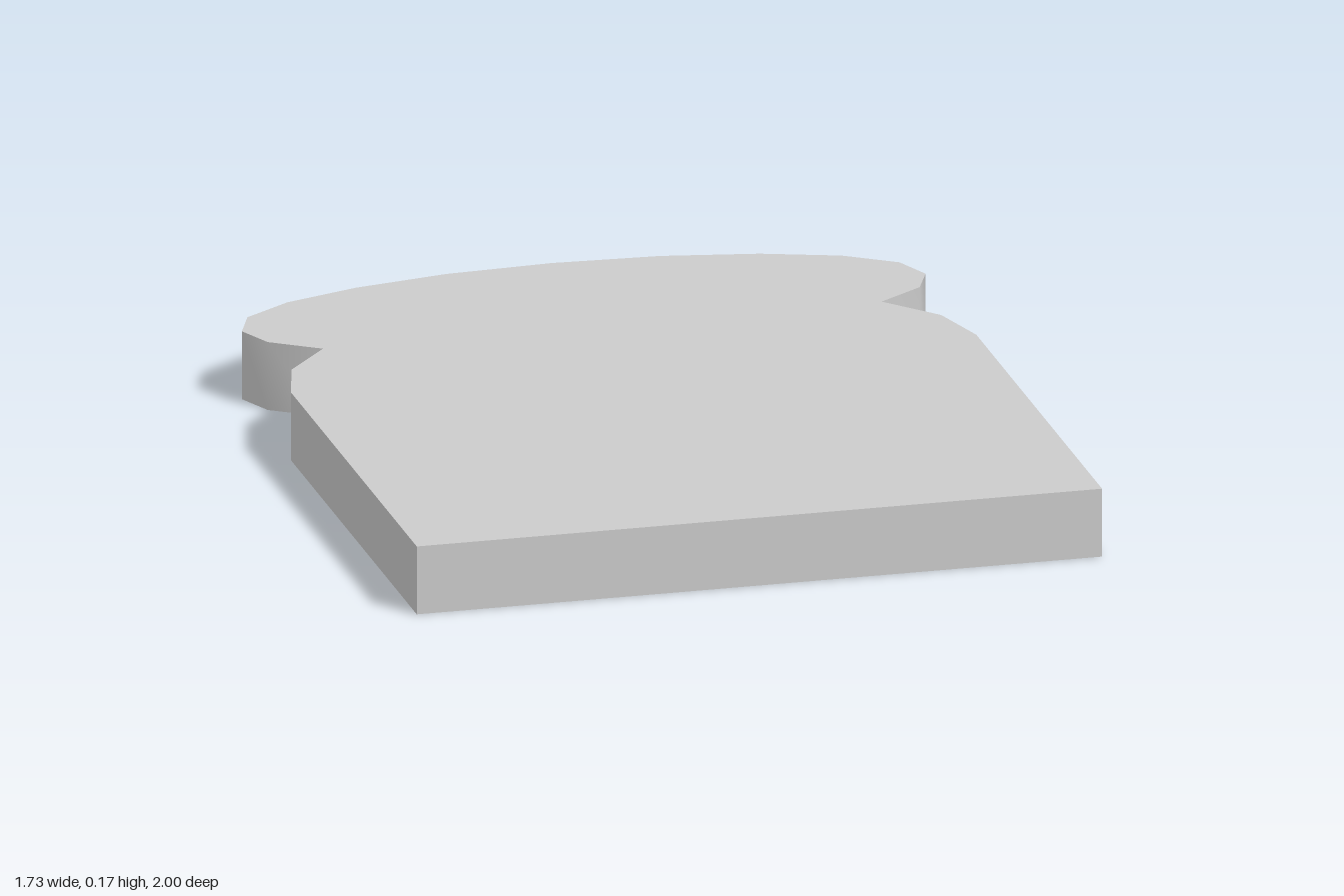
import * as THREE from 'three';
import { toCreasedNormals } from 'three/addons/utils/BufferGeometryUtils.js';

const THICKNESS = 0.175;

// Left half of the slice outline as [x, z], from the crown of the crust to the front corner
const halfOutline = [
  [0.27, -0.985], [0.51, -0.94], [0.7, -0.875], [0.823, -0.79], // domed crown
  [0.863, -0.69], [0.823, -0.595], [0.705, -0.512],             // rounded ear into the notch
  [0.82, -0.377], [0.865, -0.21], [0.865, 1],                   // shoulder and straight side
];

export function createModel() {
  const group = new THREE.Group();
  group.name = 'breadSlice';

  // Mirror the half outline; shape y is -z so the slice can be laid flat
  const left = halfOutline.map(([x, z]) => new THREE.Vector2(x, -z));
  const right = halfOutline.map(([x, z]) => new THREE.Vector2(-x, -z)).reverse();
  const shape = new THREE.Shape([new THREE.Vector2(0, 1), ...left, ...right]);

  const extruded = new THREE.ExtrudeGeometry(shape, { depth: THICKNESS, bevelEnabled: false });
  extruded.rotateX(-Math.PI / 2);

  // Smooth crust, sharp at the notches, corners and flat faces
  const slice = new THREE.Mesh(
    toCreasedNormals(extruded, THREE.MathUtils.degToRad(55)),
    new THREE.MeshStandardMaterial({ color: 0xcccccc }),
  );
  slice.name = 'slice';
  group.add(slice);
  return group;
}
